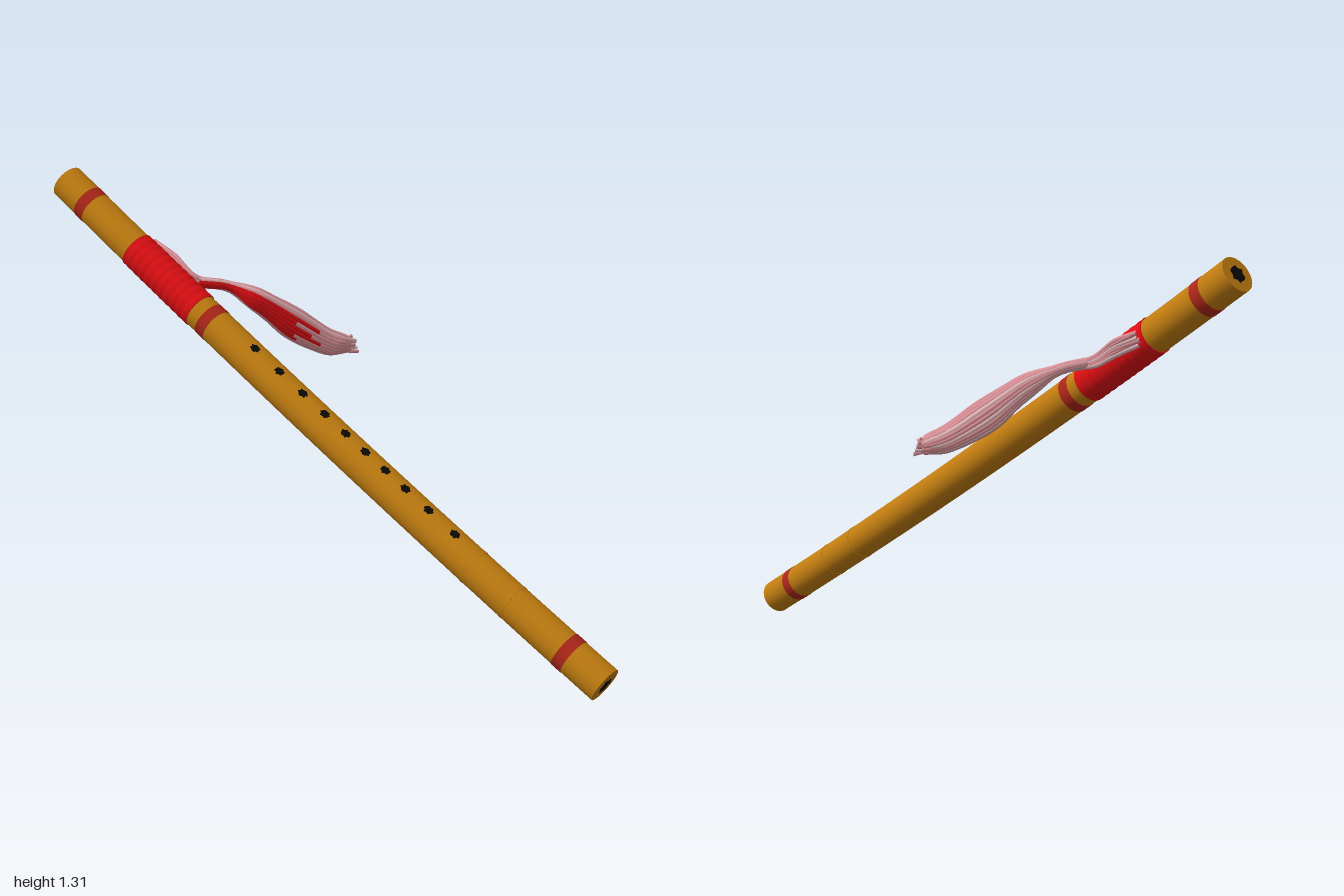
import * as THREE from 'three';

const mat = (name, color, side = THREE.FrontSide) => {
  const m = new THREE.MeshStandardMaterial({ color, side });
  m.name = name;
  return m;
};

const R = 0.0545;      // pipe radius
const END = 0.97;      // half length of the pipe along z
const PIPE_X = -0.21;

// Gently sagging centre line of the pipe
const axisY = z => 0.652 - 0.626 * z - 0.02 * (1 - (z / END) ** 2);
const axisSlope = z => -0.626 + 0.04 * z / (END * END);

// Lays a geometry modelled straight along z onto the sagging centre line
function bend(geo) {
  const p = geo.attributes.position;
  for (let i = 0; i < p.count; i++) {
    const x = p.getX(i), y = p.getY(i), z = p.getZ(i);
    const s = axisSlope(z), n = Math.hypot(1, s);
    p.setXYZ(i, PIPE_X + x, axisY(z) + y / n, z - y * s / n);
  }
  geo.computeVertexNormals();
  return geo;
}

// Cylinder around the centre line, from z0 to z1
function sleeve(z0, z1, r, segs = 1, open = false, ripple = 0) {
  const g = new THREE.CylinderGeometry(r, r, z1 - z0, 40, segs, open);
  g.rotateX(Math.PI / 2).translate(0, 0, (z0 + z1) / 2);
  if (ripple) {
    const p = g.attributes.position;
    for (let i = 0; i < p.count; i++) {
      const k = 1 + ripple * Math.sin(p.getZ(i) * 260);
      p.setXY(i, p.getX(i) * k, p.getY(i) * k);
    }
  }
  return bend(g);
}

// Ragged round spot
function spot(r, seed) {
  const g = new THREE.CircleGeometry(r, 14), p = g.attributes.position;
  for (let i = 1; i < p.count; i++) {
    const k = 0.92 + 0.16 * Math.sin(((i - 1) % 14) * 2.7 + seed);
    p.setXY(i, p.getX(i) * k, p.getY(i) * k);
  }
  return g;
}

export function createModel() {
  const group = new THREE.Group();
  const bamboo = mat('bamboo', 0xc07c10);
  const bandRed = mat('bandRed', 0xac2618);
  const red = mat('clothRed', 0xdc0e12);
  const pink = mat('tasselPink', 0xdc9298);
  const pale = mat('tasselPale', 0xe2b8ba);
  const black = mat('holeBlack', 0x0b0906);
  const add = (name, geo, m, parent = group) => {
    const mesh = new THREE.Mesh(geo, m);
    mesh.name = name;
    parent.add(mesh);
    return mesh;
  };

  // Pipe with two faint nodes
  add('pipe', sleeve(-END, END, R, 48), bamboo);
  for (const z of [0.54, 0.67]) add('node', sleeve(z - 0.004, z + 0.004, R + 0.0012), bamboo);

  // Painted bands and the cord wrap
  for (const z of [-0.872, -0.398, 0.855]) add('band', sleeve(z - 0.015, z + 0.015, R + 0.0012), bandRed);
  add('wrap', sleeve(-0.69, -0.445, R + 0.003, 60, false, 0.012), red);

  // Finger holes, curved onto the top of the pipe
  [-0.22, -0.13, -0.045, 0.035, 0.11, 0.18, 0.25, 0.32, 0.40, 0.49].forEach((z, i) => {
    const g = spot(0.0145, i * 1.3), p = g.attributes.position;
    for (let j = 0; j < p.count; j++) {
      const a = (p.getX(j) - 0.018) / R, v = p.getY(j);
      p.setXYZ(j, (R + 0.0014) * Math.sin(a), (R + 0.0014) * Math.cos(a), z - 0.029 - v);
    }
    add('fingerHole', bend(g), black);
  });

  // Bore at both ends
  for (const s of [1, -1]) {
    const g = spot(0.028, s);
    if (s < 0) g.rotateY(Math.PI);
    add('bore', bend(g.translate(0, 0, s * (END + 0.0015))), black);
  }

  // Tassel: a narrow neck that swells into a hollow bundle of strands
  const tassel = new THREE.Group();
  tassel.name = 'tassel';
  group.add(tassel);
  const V = (x, y, z) => new THREE.Vector3(x, y, z);
  const spine = new THREE.CatmullRomCurve3([
    V(-0.15, 0.985, -0.50), V(-0.07, 0.967, -0.45), V(0.0, 0.915, -0.38),
    V(0.09, 0.835, -0.315), V(0.18, 0.767, -0.24), V(0.25, 0.752, -0.21),
  ]);
  const across = V(0.75, 0.46, -0.47), outward = V(0.02, 0.69, 0.72);
  const widths = [0.012, 0.011, 0.034, 0.05, 0.038, 0.022];
  const widthAt = t => {
    const i = Math.min(4, Math.floor(t * 5)), f = t * 5 - i, e = f * f * (3 - 2 * f);
    return widths[i] + (widths[i + 1] - widths[i]) * e;
  };
  function strand(name, a, t0, t1, m) {
    const pts = [];
    for (let i = 0; i <= 12; i++) {
      const t = t0 + (t1 - t0) * i / 12, w = widthAt(t);
      pts.push(spine.getPoint(t)
        .addScaledVector(across, w * Math.cos(a))
        .addScaledVector(outward, w * 0.85 * Math.sin(a)));
    }
    add(name, new THREE.TubeGeometry(new THREE.CatmullRomCurve3(pts), 24, 0.0078, 6), m, tassel);
  }
  const COUNT = 24;
  for (let i = 0; i < COUNT; i++) {
    if (i === 3 || i === 4) continue;                     // slit in the bundle
    const a = i / COUNT * Math.PI * 2;
    const tip = 0.96 + 0.04 * Math.sin(i * 2.3);
    if (i >= 8 && i <= 13) {                              // red side fading to pink
      const cut = 0.66 + 0.08 * Math.sin(i * 1.9);
      strand('redStrand', a, 0, cut, red);
      strand('pinkStrand', a, cut, tip, pink);
    } else {
      strand('strand', a, 0, tip, i % 3 === 0 ? pale : pink);
    }
  }

  // Curled wisps at the tip
  for (let i = 0; i < 5; i++) {
    const k = i / 4;
    const c = new THREE.CatmullRomCurve3([
      V(0.19, 0.745 + 0.035 * k, -0.225 - 0.03 * k),
      V(0.23, 0.735 + 0.03 * k, -0.205 - 0.025 * k),
      V(0.262, 0.73 + 0.048 * k, -0.195 - 0.025 * k),
    ]);
    add('wisp', new THREE.TubeGeometry(c, 10, 0.0055, 6), i % 2 ? pale : pink, tassel);
  }

  // Short loose tail lying along the wrap
  for (let i = 0; i < 6; i++) {
    const k = i / 5 - 0.5;
    const c = new THREE.CatmullRomCurve3([
      V(-0.115, 0.978 + 0.01 * k, -0.475),
      V(-0.143, 0.99 + 0.025 * k, -0.52),
      V(-0.143 + 0.008 * k, 1.035 + 0.04 * k, -0.6),
      V(-0.132 + 0.02 * k, 1.07 + 0.035 * k, -0.69 + 0.012 * Math.sin(i * 2)),
    ]);
    add('tail', new THREE.TubeGeometry(c, 20, 0.0075, 6), i % 3 ? pink : pale, tassel);
  }
  return group;
}
